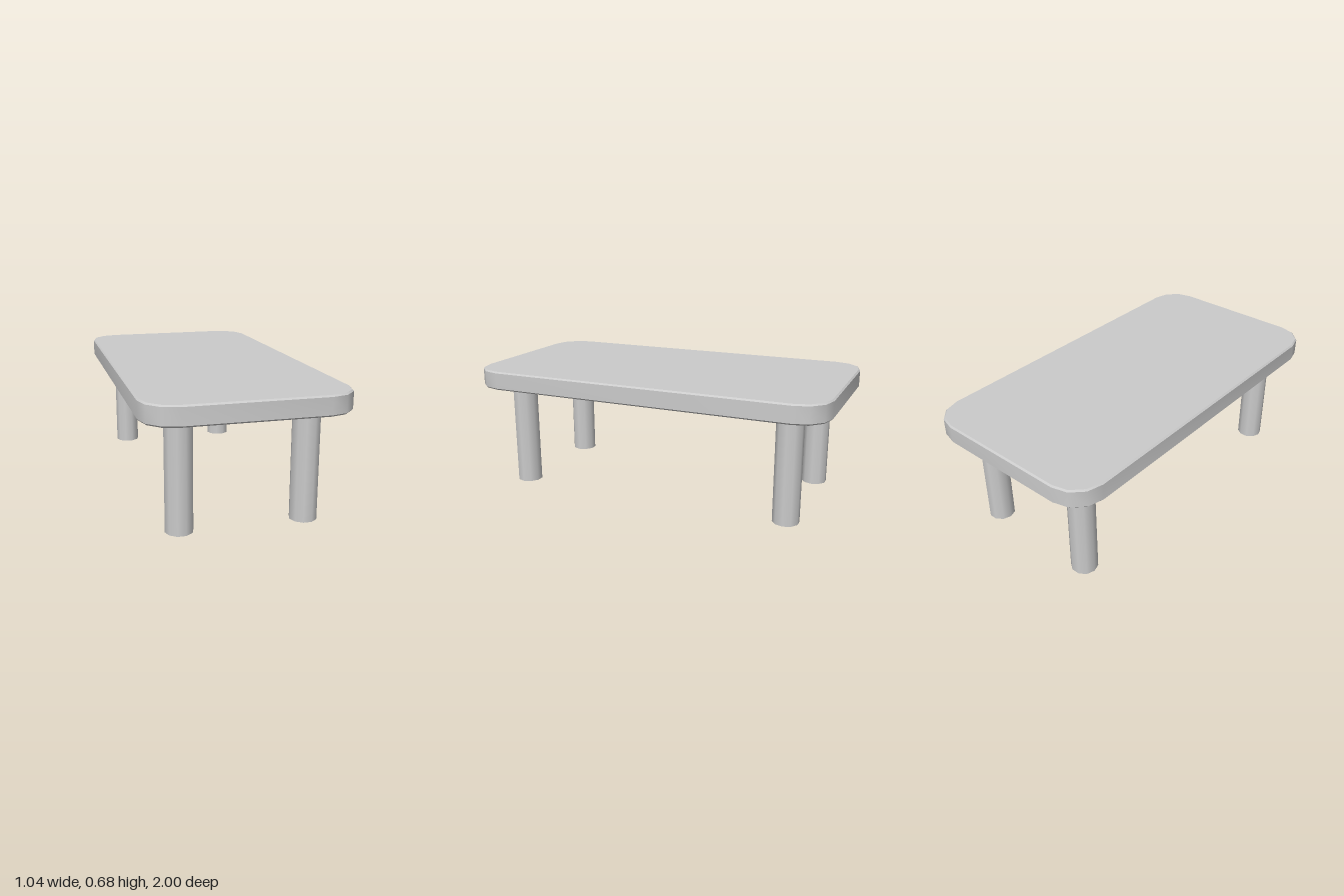
import * as THREE from 'three';
import { toCreasedNormals } from 'three/addons/utils/BufferGeometryUtils.js';

const HALF_X = 0.52, HALF_Z = 1, CORNER = 0.165, CORNER_SEGMENTS = 3;
const RECESS_Y = 0.62;

// Rounded rectangle outline, shrunk by inset, at height y
function outline(inset, y) {
  const r = CORNER - inset, points = [];
  for (let c = 0; c < 4; c++) {
    const sx = c === 0 || c === 3 ? 1 : -1;
    const sz = c < 2 ? 1 : -1;
    for (let s = 0; s <= CORNER_SEGMENTS; s++) {
      const a = (c + s / CORNER_SEGMENTS) * Math.PI / 2;
      points.push([
        sx * (HALF_X - CORNER) + r * Math.cos(a),
        y,
        sz * (HALF_Z - CORNER) + r * Math.sin(a),
      ]);
    }
  }
  return points;
}

// Slab with softened edges and a shallow recess underneath
function tabletopGeometry() {
  const profile = [
    [0.008, 0.683], [0, 0.675], [0, 0.588], [0.008, 0.58], [0.06, 0.58], [0.06, RECESS_Y],
  ];
  const rings = profile.map(([inset, y]) => outline(inset, y));
  const first = rings[0], last = rings[rings.length - 1], n = first.length;
  const positions = [];
  const triangle = (a, b, c) => positions.push(...a, ...b, ...c);

  for (let i = 0; i < n; i++) {
    const j = (i + 1) % n;
    triangle([0, profile[0][1], 0], first[j], first[i]);
    for (let k = 0; k < rings.length - 1; k++) {
      const upper = rings[k], lower = rings[k + 1];
      triangle(upper[i], upper[j], lower[i]);
      triangle(upper[j], lower[j], lower[i]);
    }
    triangle([0, RECESS_Y, 0], last[i], last[j]);
  }
  const geometry = new THREE.BufferGeometry();
  geometry.setAttribute('position', new THREE.Float32BufferAttribute(positions, 3));
  return toCreasedNormals(geometry, 0.7);
}

export function createModel() {
  const table = new THREE.Group();
  table.name = 'table';

  const top = new THREE.Mesh(tabletopGeometry(), new THREE.MeshStandardMaterial({ color: 0xcccccc }));
  top.name = 'tabletop';
  table.add(top);

  // Four open tubular legs reaching up into the recess
  const legGeometry = new THREE.CylinderGeometry(0.071, 0.071, RECESS_Y, 10, 1, true, Math.PI / 2);
  const legMaterial = new THREE.MeshStandardMaterial({ color: 0xcccccc, side: THREE.DoubleSide });
  for (const z of [1, -1]) {
    for (const x of [1, -1]) {
      const leg = new THREE.Mesh(legGeometry, legMaterial);
      leg.name = (z > 0 ? 'front' : 'back') + (x > 0 ? 'Left' : 'Right') + 'Leg';
      leg.position.set(x * 0.32, RECESS_Y / 2, z * 0.785);
      table.add(leg);
    }
  }
  return table;
}
